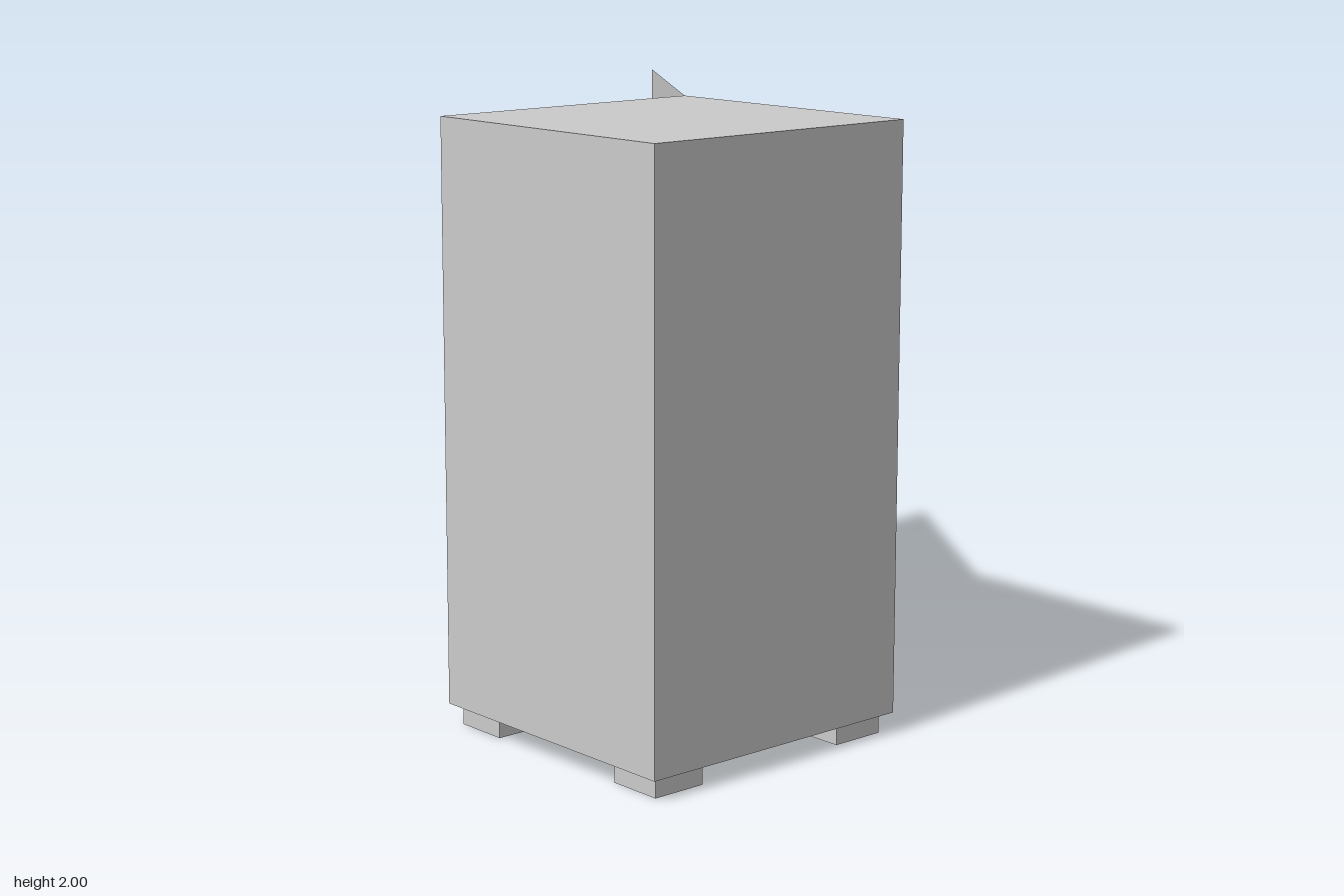
import * as THREE from 'three';

export function createModel() {
  const model = new THREE.Group();
  const grey = new THREE.MeshStandardMaterial({ color: 0xcccccc, flatShading: true });
  const sheet = new THREE.MeshStandardMaterial({
    color: 0xcccccc, flatShading: true, side: THREE.DoubleSide,
  });

  const width = 1.03, depth = 1.025, top = 2, bottom = 0.07;
  const cx = -0.295, cz = 0.422;

  function add(name, geometry, x, y, z, material = grey) {
    const mesh = new THREE.Mesh(geometry, material);
    mesh.name = name;
    mesh.position.set(x, y, z);
    model.add(mesh);
    return mesh;
  }

  // Cabinet body
  const height = top - bottom;
  const midY = (top + bottom) / 2;
  add('cabinetBody', new THREE.BoxGeometry(width, height, depth), cx, midY, cz);

  // Thin open door, hinged on the rear corner at +x
  const hinge = new THREE.Vector2(cx + width / 2, cz - depth / 2);
  const tip = new THREE.Vector2(0.81, -0.935);
  const swing = tip.clone().sub(hinge);
  const door = add('door', new THREE.PlaneGeometry(swing.length(), height),
    (hinge.x + tip.x) / 2, midY, (hinge.y + tip.y) / 2, sheet);
  door.rotation.y = -swing.angle();

  // Four square feet, inset from the corners
  const foot = 0.192, inset = 0.033;
  for (const sx of [-1, 1]) {
    for (const sz of [-1, 1]) {
      add(`${sz > 0 ? 'front' : 'back'}${sx > 0 ? 'Left' : 'Right'}Foot`,
        new THREE.BoxGeometry(foot, bottom, foot),
        cx + sx * (width / 2 - inset - foot / 2), bottom / 2,
        cz + sz * (depth / 2 - inset - foot / 2));
    }
  }
  return model;
}
